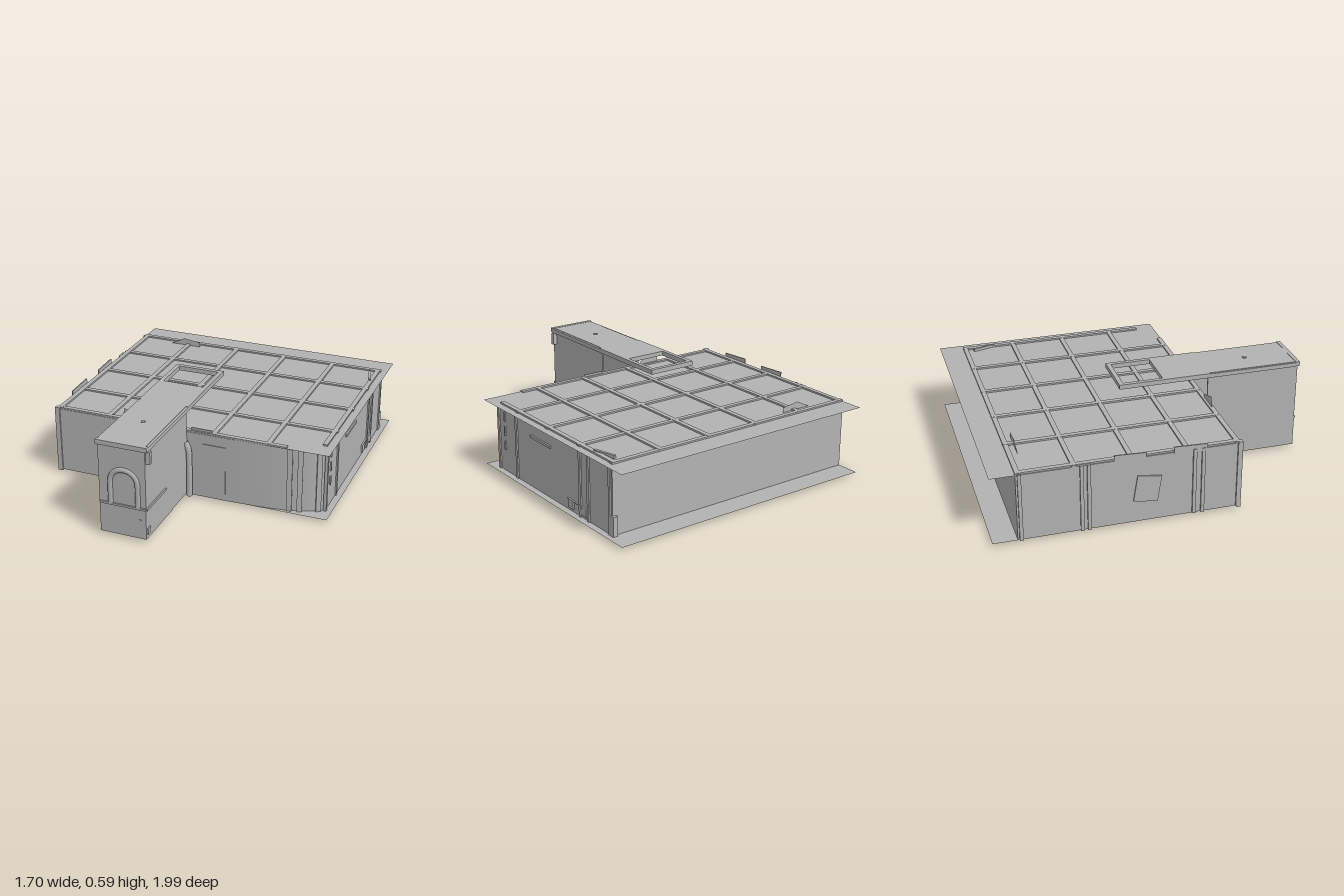
import * as THREE from 'three';

const grey = new THREE.MeshStandardMaterial({ color: 0xb2b2b2, side: THREE.DoubleSide });
grey.name = 'plain grey';

export function createModel() {
  const model = new THREE.Group();
  const add = (name, geometry, parent = model) => {
    const mesh = new THREE.Mesh(geometry, grey);
    mesh.name = name;
    parent.add(mesh);
    return mesh;
  };
  // Box given by its limits on each axis
  const box = (name, x0, x1, y0, y1, z0, z1, parent) => {
    const mesh = add(name, new THREE.BoxGeometry(x1 - x0, y1 - y0, z1 - z0), parent);
    mesh.position.set((x0 + x1) / 2, (y0 + y1) / 2, (z0 + z1) / 2);
    return mesh;
  };
  // Flat horizontal sheet
  const sheet = (name, x0, x1, z0, z1, y) => {
    const mesh = add(name, new THREE.PlaneGeometry(x1 - x0, z1 - z0).rotateX(-Math.PI / 2));
    mesh.position.set((x0 + x1) / 2, y, (z0 + z1) / 2);
  };
  // Flat upright polygon facing along z
  const plate = (name, points, z) => {
    const shape = new THREE.Shape(points.map(([x, y]) => new THREE.Vector2(x, y)));
    add(name, new THREE.ShapeGeometry(shape)).position.z = z;
  };

  // Floor and roof sheets, overhanging at the back
  sheet('floorSheet', -0.84, 0.85, -1, 0.405, 0.016);
  sheet('roofSheet', -0.84, 0.85, -1, 0.405, 0.42);

  // Hall walls: straight runs and a gently rounded front corner
  const wall = (name, points) => {
    const pos = [], index = [];
    points.forEach(([x, z], i) => {
      pos.push(x, 0.016, z, x, 0.42, z);
      if (i) index.push(2 * i - 2, 2 * i, 2 * i - 1, 2 * i, 2 * i + 1, 2 * i - 1);
    });
    const g = new THREE.BufferGeometry();
    g.setAttribute('position', new THREE.Float32BufferAttribute(pos, 3));
    g.setIndex(index);
    g.computeVertexNormals();
    add(name, g);
  };
  wall('leftWall', [[-0.84, -0.86], [-0.84, 0.41]]);
  wall('frontLeftWall', [[-0.84, 0.41], [-0.28, 0.41]]);
  const corner = new THREE.CubicBezierCurve3(
    new THREE.Vector3(0.15, 0, 0.41), new THREE.Vector3(0.5, 0, 0.41),
    new THREE.Vector3(0.72, 0, 0.38), new THREE.Vector3(0.81, 0, 0.29));
  wall('frontRightWall', [[0, 0.41], ...corner.getPoints(16).map((p) => [p.x, p.z])]);
  wall('rightWall', [[0.81, 0.29], [0.81, -0.86]]);
  wall('backWall', [[0.81, -0.86], [-0.84, -0.86]]);

  // Roof ribs
  const ribs = new THREE.Group();
  ribs.name = 'roofRibs';
  model.add(ribs);
  for (const x of [-0.82, -0.5, -0.17, 0.16, 0.49, 0.79]) {
    box('longRib', x - 0.014, x + 0.014, 0.418, 0.43, -0.86, x > 0.7 ? 0.29 : 0.4, ribs);
  }
  for (const z of [-0.845, -0.54, -0.22, 0.1, 0.39]) {
    box('crossRib', -0.84, z > 0.3 ? 0.6 : 0.81, 0.418, 0.429, z - 0.014, z + 0.014, ribs);
  }

  // Wall posts: front corner, right wall and left wall
  for (const t of [0.56, 0.66, 0.88]) {
    const p = corner.getPoint(t);
    const a = corner.getTangent(t);
    const post = box('cornerPost', -0.015, 0.015, 0.016, 0.41, -0.01, 0.012);
    post.position.set(p.x, 0.213, p.z);
    post.rotation.y = Math.atan2(-a.z, a.x);
  }
  for (const z of [0.3, 0.1, -0.56, -0.64, -0.84]) {
    box('rightPost', 0.8, 0.818, 0.016, 0.42, z - 0.01, z + 0.01);
  }
  for (const z of [-0.84, -0.5, -0.46, 0.14, 0.19, 0.4]) {
    box('leftPost', -0.85, -0.835, 0.016, 0.425, z - 0.01, z + 0.01);
  }
  box('leftFrontPost', -0.85, -0.82, 0.01, 0.43, 0.395, 0.418);

  // Small fittings on the side and front walls
  for (const y of [0.15, 0.24, 0.33]) box('rightSlot', 0.808, 0.817, y, y + 0.055, 0.225, 0.238);
  box('rightSlit', 0.808, 0.82, 0.32, 0.335, -0.27, -0.06);
  box('rightShelf', 0.808, 0.82, 0.08, 0.086, -0.63, -0.44);
  for (const z of [-0.47, -0.6]) box('rightBracket', 0.808, 0.82, 0.035, 0.08, z - 0.025, z + 0.025);
  box('rightRearBox', 0.79, 0.818, 0, 0.13, -0.878, -0.845);
  box('leftPanel', -0.847, -0.838, 0.14, 0.3, -0.2, -0.06).rotation.x = 0.15;
  box('frontPanel', 0.1, 0.24, 0.06, 0.36, 0.405, 0.415);

  // Loose tilted pieces on the roof
  plate('frontShard', [[-0.42, 0.42], [-0.28, 0.42], [-0.28, 0.45], [-0.4, 0.49]], 0.39);
  plate('rearShard', [[-0.62, 0.42], [-0.42, 0.42], [-0.42, 0.45], [-0.53, 0.465]], -0.8);
  for (const [z0, z1] of [[0.02, 0.21], [-0.32, -0.14]]) {
    box('leftEdgePiece', -0.845, -0.838, 0.41, 0.452, z0, z1).rotation.x = 0.04;
  }
  box('frontEdgePiece', 0.02, 0.15, 0.42, 0.442, 0.385, 0.392);
  box('cornerPiece', 0.76, 0.775, 0.42, 0.437, -0.8, -0.66).rotation.y = 0.28;

  // Entrance passage: walls, partial floor and long roof slab
  box('passageRightWall', -0.01, 0, 0.025, 0.556, 0.41, 0.975);
  box('passageLeftWall', -0.28, -0.27, 0.025, 0.556, 0.41, 0.975);
  box('passageFrontWall', -0.28, 0, 0.025, 0.556, 0.965, 0.976);
  box('passageFloor', -0.28, 0, 0.02, 0.03, 0.62, 0.98);
  box('passageRoof', -0.28, 0, 0.557, 0.583, 0.135, 0.975);
  box('passageRoofTrim', -0.29, 0.015, 0.555, 0.58, 0.42, 0.96);
  box('passageRoofFront', -0.29, 0.015, 0.557, 0.585, 0.96, 0.985);
  add('roofStud', new THREE.CylinderGeometry(0.013, 0.013, 0.006, 12)).position.set(-0.14, 0.585, 0.69);

  // Open frame continuing the passage roof over the hall
  box('frameLeft', -0.29, -0.265, 0.555, 0.583, -0.13, 0.42);
  box('frameRight', -0.01, 0.015, 0.555, 0.583, -0.13, 0.42);
  box('frameBack', -0.265, -0.01, 0.555, 0.583, -0.13, -0.103);

  // Front door arch, sill and lower panel
  const path = new THREE.CurvePath();
  const V = (x, y) => new THREE.Vector3(x, y, 0);
  path.add(new THREE.LineCurve3(V(-0.212, 0.21), V(-0.212, 0.34)));
  path.add(new THREE.CubicBezierCurve3(V(-0.212, 0.34), V(-0.212, 0.45), V(-0.048, 0.45), V(-0.048, 0.34)));
  path.add(new THREE.LineCurve3(V(-0.048, 0.34), V(-0.048, 0.21)));
  add('doorArch', new THREE.TubeGeometry(path, 48, 0.017, 8)).position.z = 0.972;
  box('doorSill', -0.275, 0, 0.2, 0.212, 0.96, 0.986);
  box('lowerPanel', -0.275, 0, 0.03, 0.2, 0.97, 0.98);
  add('panelKnob', new THREE.CylinderGeometry(0.007, 0.007, 0.006, 10).rotateX(Math.PI / 2)).position.set(-0.035, 0.135, 0.982);
  box('frontFin', 0, 0.025, 0.48, 0.555, 0.94, 0.965);
  box('sideRail', -0.001, 0.008, 0.198, 0.212, 0.72, 0.975);
  box('sideBox', -0.001, 0.008, 0.05, 0.085, 0.935, 0.972);

  // Curved pipes where the passage meets the hall
  for (const s of [-1, 1]) {
    const curve = new THREE.CatmullRomCurve3([
      [0.16, 0.016], [0.16, 0.26], [0.155, 0.32], [0.135, 0.36],
    ].map(([x, y]) => new THREE.Vector3(-0.14 + s * x, y, 0.425)));
    add('passagePipe', new THREE.TubeGeometry(curve, 20, 0.018, 8));
  }
  return model;
}
